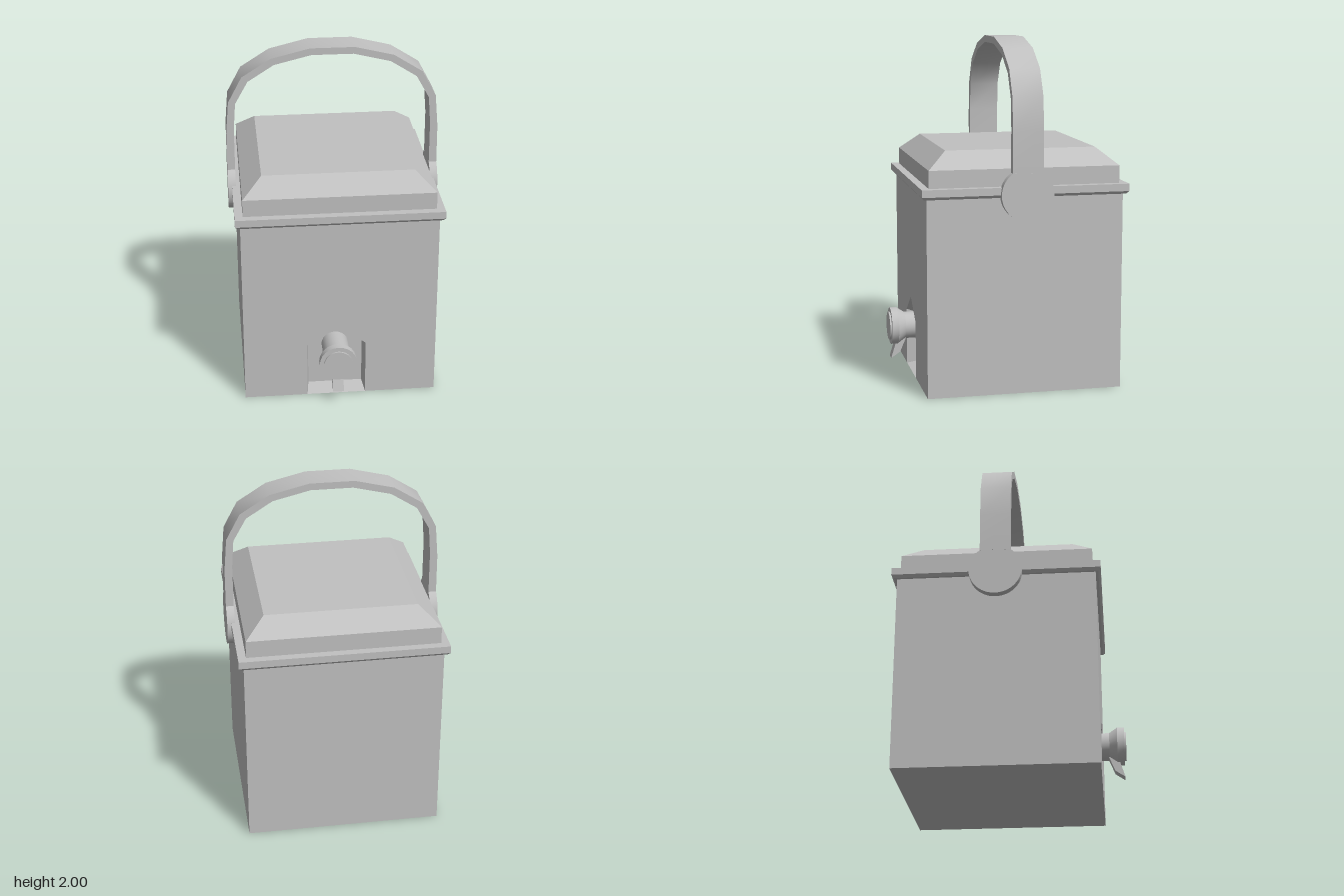
import * as THREE from 'three';
import { toCreasedNormals } from 'three/addons/utils/BufferGeometryUtils.js';

const grey = new THREE.MeshStandardMaterial({ color: 0xc0c0c0 });
grey.name = 'grey plastic';

const vectors = (points) => points.map(([x, y]) => new THREE.Vector2(x, y));

function addMesh(parent, name, geometry) {
  const mesh = new THREE.Mesh(geometry, grey);
  mesh.name = name;
  parent.add(mesh);
  return mesh;
}

// Square stack from [half width, height] levels, bottom to top
function squareStack(levels) {
  const profile = vectors(levels.map(([half, y]) => [half * Math.SQRT2, y]));
  const geometry = new THREE.LatheGeometry(profile, 4, Math.PI / 4).toNonIndexed();
  geometry.computeVertexNormals();
  return geometry;
}

function createBody() {
  const body = new THREE.Group();
  body.name = 'body';
  const half = 0.563, height = 1.14, backZ = half - 0.1;

  // Shell without its front face (the fifth side of the box)
  const shell = new THREE.BoxGeometry(2 * half, height, 2 * half);
  const index = Array.from(shell.index.array);
  index.splice(24, 6);
  shell.setIndex(index);
  shell.clearGroups();
  shell.translate(0, height / 2, 0);
  addMesh(body, 'shell', shell);

  // Front panel notched around the tap recess
  const mouth = [[-0.195, 0], [-0.195, 0.34], [-0.023, 0.455], [0.149, 0.34], [0.149, 0]];
  const inner = [[-0.182, 0.02], [-0.182, 0.305], [-0.023, 0.41], [0.137, 0.305], [0.137, 0.02]];
  const outline = [[-half, 0], ...mouth, [half, 0], [half, height], [-half, height]];
  const front = new THREE.ShapeGeometry(new THREE.Shape(vectors(outline)));
  front.translate(0, 0, half);
  addMesh(body, 'frontPanel', front);

  // Recess back and tapering walls
  const back = new THREE.ShapeGeometry(new THREE.Shape(vectors(inner)));
  back.translate(0, 0, backZ);
  addMesh(body, 'recessBack', back);
  const positions = [];
  mouth.forEach((p, i) => {
    const j = (i + 1) % mouth.length;
    const a = [...p, half], b = [...mouth[j], half];
    const c = [...inner[j], backZ], d = [...inner[i], backZ];
    positions.push(...a, ...c, ...b, ...a, ...d, ...c);
  });
  const walls = new THREE.BufferGeometry();
  walls.setAttribute('position', new THREE.Float32BufferAttribute(positions, 3));
  walls.computeVertexNormals();
  addMesh(body, 'recessWalls', walls);
  // Walls are seen from inside the recess
  return body;
}

function createTap() {
  const tap = new THREE.Group();
  tap.name = 'tap';
  tap.position.set(-0.023, 0.285, 0);

  // Stem, flared head and button
  const profile = [
    [0.079, 0.45], [0.079, 0.605], [0.109, 0.65], [0.109, 0.69],
    [0.083, 0.69], [0.083, 0.7], [0, 0.7],
  ];
  const spout = new THREE.LatheGeometry(vectors(profile), 24);
  spout.rotateX(Math.PI / 2);
  addMesh(tap, 'spout', toCreasedNormals(spout, 0.5));

  // Lever hanging below the head, drawn from the side
  const side = [[0.595, -0.06], [0.635, -0.155], [0.69, -0.192], [0.66, -0.095], [0.655, -0.06]];
  const lever = new THREE.ExtrudeGeometry(new THREE.Shape(vectors(side)), {
    depth: 0.064, bevelEnabled: false,
  });
  lever.translate(0, 0, -0.032);
  lever.rotateY(-Math.PI / 2);
  addMesh(tap, 'lever', lever);
  return tap;
}

function createHandle() {
  const handle = new THREE.Group();
  handle.name = 'handle';
  const width = 0.175, discY = 1.148, radius = 0.15;

  // Arched strap
  const outer = [[0.615, 1.27], [0.614, 1.5], [0.598, 1.69], [0.518, 1.84], [0.352, 1.945], [0.127, 2]];
  const inner = [[0.57, 1.27], [0.57, 1.52], [0.558, 1.68], [0.484, 1.812], [0.333, 1.908], [0.12, 1.96]];
  const mirrored = (side) => side.map(([x, y]) => [-x, y]).reverse();
  const loop = [...outer, ...mirrored(outer), ...mirrored(inner).reverse(), ...inner.slice().reverse()];
  const strap = new THREE.ExtrudeGeometry(new THREE.Shape(vectors(loop)), {
    depth: width, bevelEnabled: false,
  });
  strap.translate(0, 0, -width / 2);
  addMesh(handle, 'strap', toCreasedNormals(strap, 0.75));

  // Round pivots, cut flat where the strap joins
  const angle = Math.acos(width / 2 / radius);
  const disc = new THREE.Shape();
  disc.absarc(0, discY, radius, Math.PI - angle, 2 * Math.PI + angle, false);
  const pivot = new THREE.ExtrudeGeometry(disc, { depth: 0.045, bevelEnabled: false, curveSegments: 32 });
  pivot.rotateY(Math.PI / 2);
  const smooth = toCreasedNormals(pivot, 0.5);
  addMesh(handle, 'leftPivot', smooth).position.x = 0.57;
  addMesh(handle, 'rightPivot', smooth).position.x = -0.615;
  return handle;
}

export function createModel() {
  const model = new THREE.Group();
  model.name = 'drinkCooler';

  const cooler = new THREE.Group();
  cooler.name = 'cooler';
  cooler.position.z = -0.054;
  model.add(cooler);

  cooler.add(createBody(), createTap(), createHandle());

  // Overhanging rim and bevelled lid
  addMesh(cooler, 'rim', squareStack([[0.56, 1.132], [0.578, 1.132], [0.592, 1.148], [0.592, 1.19], [0.5, 1.19]]));
  addMesh(cooler, 'lid', squareStack([[0.546, 1.19], [0.546, 1.29], [0.433, 1.386], [0, 1.386]]));
  return model;
}
